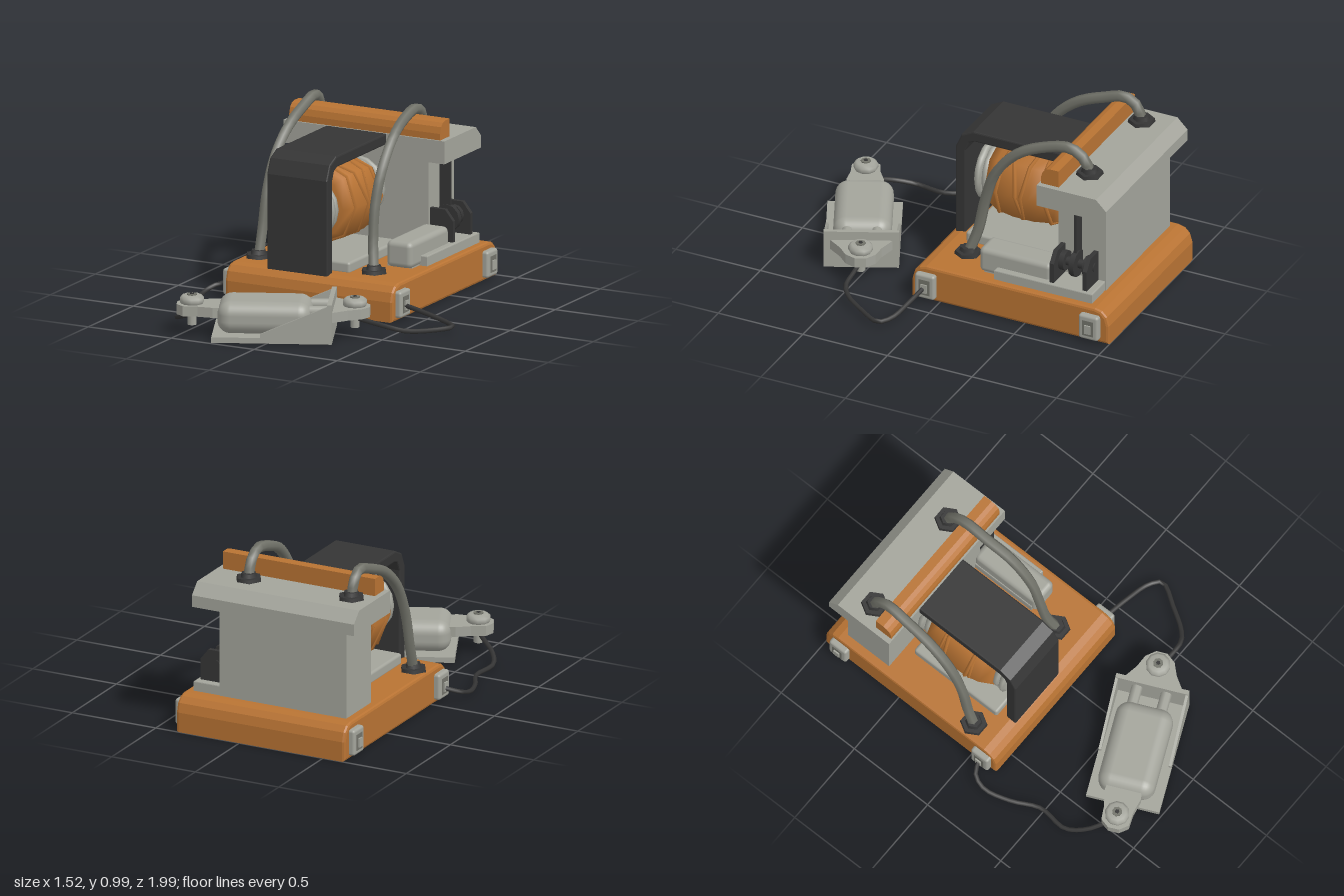
import * as THREE from 'three';
import { RoundedBoxGeometry } from 'three/addons/geometries/RoundedBoxGeometry.js';

const mat = (name, color) => Object.assign(new THREE.MeshStandardMaterial({ color }), { name });

export function createModel() {
  const copper = mat('copper orange', 0xb87333);
  const steel = mat('light grey', 0xa3a49b);
  const cableGrey = mat('cable grey', 0x72736a);
  const black = mat('charcoal', 0x353535);
  const root = new THREE.Group();
  root.name = 'electricBuzzer';

  const add = (name, geo, m, parent = root, x = 0, y = 0, z = 0) => {
    const mesh = new THREE.Mesh(geo, m);
    mesh.name = name;
    mesh.position.set(x, y, z);
    parent.add(mesh);
    return mesh;
  };
  const extrude = (pts, depth, b) => {
    const geo = new THREE.ExtrudeGeometry(new THREE.Shape(pts.map(p => new THREE.Vector2(...p))), {
      depth: depth - 2 * b, bevelEnabled: b > 0, bevelThickness: b, bevelSize: b, bevelOffset: -b, bevelSegments: 2,
    });
    return geo.translate(0, 0, b);
  };
  // Side profile given as [z, y], swept from x0 to x1
  const side = (pts, x0, x1, b = 0) =>
    extrude(pts.map(([z, y]) => [-z, y]), x1 - x0, b).rotateY(Math.PI / 2).translate(x0, 0, 0);
  // Plan outline given as [x, z], raised from y0 to y1
  const plan = (pts, y0, y1, b = 0) =>
    extrude(pts.map(([x, z]) => [x, -z]), y1 - y0, b).rotateX(-Math.PI / 2).translate(0, y0, 0);
  // Box from its limits, optionally rounded
  const box = (x0, x1, y0, y1, z0, z1, r = 0) => {
    const s = [x1 - x0, y1 - y0, z1 - z0];
    const g = r ? new RoundedBoxGeometry(...s, 2, r) : new THREE.BoxGeometry(...s);
    return g.translate((x0 + x1) / 2, (y0 + y1) / 2, (z0 + z1) / 2);
  };
  const lathe = (pts, n) => new THREE.LatheGeometry(pts.map(p => new THREE.Vector2(...p)), n);
  const tube = (pts, r, n = 24) => new THREE.TubeGeometry(
    new THREE.CatmullRomCurve3(pts.map(p => new THREE.Vector3(...p))), n, r, 6);

  // Base with rounded front and back edges
  add('base', side([[0.165, 0], [0.165, 0.11], [0.15, 0.16], [0.12, 0.19], [0.08, 0.2],
    [-0.915, 0.2], [-0.955, 0.19], [-0.985, 0.16], [-1, 0.11], [-1, 0]], -0.63, 0.38, 0.015), copper);

  // Rear block, its cap and the rail on top
  add('rearBlock', box(-0.58, 0.18, 0.2, 0.71, -0.885, -0.605), steel);
  add('capPlate', side([[-0.54, 0.7], [-0.54, 0.825], [-0.89, 0.825], [-0.95, 0.765], [-0.95, 0.7]], -0.66, 0.31), steel);
  add('topRail', side([[-0.55, 0.82], [-0.55, 0.86], [-0.56, 0.895], [-0.58, 0.915], [-0.605, 0.922],
    [-0.655, 0.922], [-0.655, 0.82]], -0.63, 0.28), copper);

  // Bent strap over the coil
  add('strap', side([[0.115, 0.18], [0.115, 0.71], [0.08, 0.79], [0.01, 0.825], [-0.55, 0.825], [-0.55, 0.765],
    [-0.0, 0.765], [0.035, 0.75], [0.055, 0.7], [0.055, 0.18]], -0.405, -0.04, 0.008), black);

  // Coil: barrel, windings, flanges and axle, lying along z
  const coil = new THREE.Group();
  coil.name = 'coil';
  coil.position.set(-0.225, 0.515, -0.275);
  root.add(coil);
  add('barrel', lathe([[0, -0.215], [0.185, -0.215], [0.215, -0.16], [0.23, -0.06], [0.23, 0.06],
    [0.215, 0.16], [0.185, 0.215], [0, 0.215]], 8).rotateX(Math.PI / 2), copper, coil);
  [[-0.13, 0.1, 0.218], [-0.04, -0.12, 0.228], [0.05, 0.14, 0.23], [0.12, -0.08, 0.22]].forEach(([z, tilt, r]) => {
    const w = add('winding', new THREE.TorusGeometry(r, 0.012, 5, 8), copper, coil, 0, 0, z);
    w.rotation.set(tilt, tilt, 0);
  });
  for (const s of [-1, 1]) {
    [[0.235, 0.165], [0.275, 0.17]].forEach(([z, r]) => add('flange',
      lathe([[0, -0.022], [r - 0.02, -0.022], [r, -0.01], [r, 0.01], [r - 0.02, 0.022], [0, 0.022]], 16)
        .rotateX(Math.PI / 2), steel, coil, 0, 0, s * z));
  }
  add('axle', new THREE.CylinderGeometry(0.065, 0.065, 0.67, 10).rotateX(Math.PI / 2), black, coil);

  // Plates standing on the base
  add('coilPlate', box(-0.44, 0.04, 0.19, 0.255, -0.55, 0.015, 0.015), steel);
  add('sidePlate', plan([[0.14, -0.22], [0.29, -0.22], [0.29, -0.3], [0.337, -0.3], [0.337, -0.88], [0.14, -0.88]],
    0.19, 0.255, 0.006), steel);
  add('sideBar', box(0.145, 0.3, 0.2, 0.345, -0.62, -0.19, 0.03), steel);

  // Contact wheel beside the block
  const bracket = [[0.13, 0.25], [0.13, 0.37], [0.175, 0.43], [0.27, 0.43], [0.318, 0.37], [0.318, 0.25]];
  for (const z of [-0.645, -0.84]) {
    add('contactBracket', extrude(bracket, 0.025, 0), black, root, 0, 0, z);
  }
  const rod = (r, d, z) => add('contactDisc', new THREE.CylinderGeometry(r, r, d, 12).rotateX(Math.PI / 2),
    black, root, 0.225, 0.355, z);
  rod(0.075, 0.03, -0.735);
  rod(0.025, 0.22, -0.735);
  rod(0.055, 0.03, -0.665);
  rod(0.055, 0.03, -0.805);
  add('contactArm', box(0.18, 0.245, 0.36, 0.71, -0.742, -0.727), black);

  // Thick cables with hexagonal nuts
  const nut = (x, y, z) => {
    add('hexNut', new THREE.CylinderGeometry(0.07, 0.075, 0.022, 6).rotateY(Math.PI / 6).toNonIndexed(),
      black, root, x, y + 0.008, z);
    add('nutCollar', new THREE.CylinderGeometry(0.04, 0.05, 0.03, 6).rotateY(Math.PI / 6), black, root, x, y + 0.025, z);
  };
  const cables = [
    [[-0.545, 0.2, -0.055], [-0.545, 0.34, -0.095], [-0.54, 0.55, -0.14], [-0.535, 0.72, -0.22], [-0.53, 0.85, -0.36],
      [-0.53, 0.92, -0.52], [-0.53, 0.955, -0.65], [-0.535, 0.91, -0.715], [-0.535, 0.83, -0.74]],
    [[0.15, 0.2, -0.055], [0.12, 0.34, -0.1], [0.11, 0.54, -0.14], [0.115, 0.71, -0.2], [0.11, 0.86, -0.33],
      [0.095, 0.93, -0.48], [0.09, 0.96, -0.63], [0.085, 0.91, -0.71], [0.08, 0.83, -0.74]],
  ];
  cables.forEach(c => {
    add('cable', tube(c, 0.03), cableGrey);
    const a = c[0], b = c[c.length - 1];
    nut(...a);
    nut(b[0], 0.825, b[2]);
  });

  // Sockets on both flanks of the base
  for (const s of [-1, 1]) for (const z of [0.075, -0.893]) {
    const x = s > 0 ? 0.385 : -0.635;
    add('socket', box(-0.028, 0.028, 0.02, 0.165, -0.058, 0.058, 0.015), steel, root, x, 0, z);
    add('socketInset', box(-0.004, 0.004, 0.045, 0.135, -0.032, 0.032), cableGrey, root, x + s * 0.026, 0, z);
    add('socketPlug', box(-0.008, 0.008, 0.06, 0.11, -0.018, 0.018), steel, root, x + s * 0.03, 0, z);
  }

  // Thin wires running to the cell holder
  add('leftWire', tube([[0.4, 0.085, 0.08], [0.55, 0.06, 0.1], [0.69, 0.035, 0.13], [0.75, 0.03, 0.18],
    [0.68, 0.03, 0.31], [0.6, 0.045, 0.43], [0.54, 0.065, 0.475], [0.42, 0.085, 0.485], [0.33, 0.1, 0.49]], 0.013), black);
  add('rightWire', tube([[-0.65, 0.08, 0.07], [-0.72, 0.06, 0.1], [-0.75, 0.035, 0.18], [-0.71, 0.018, 0.33],
    [-0.64, 0.015, 0.48], [-0.65, 0.02, 0.65], [-0.59, 0.05, 0.75], [-0.5, 0.085, 0.82], [-0.45, 0.1, 0.865]], 0.013), black);

  // Cell holder, turned on the floor
  const holder = new THREE.Group();
  holder.name = 'cellHolder';
  holder.position.set(-0.06, 0, 0.67);
  holder.rotation.y = 0.43;
  root.add(holder);
  add('tray', box(-0.32, 0.32, 0, 0.03, -0.2, 0.2), steel, holder);
  add('endWall', box(0.295, 0.32, 0, 0.215, -0.2, 0.2), steel, holder);
  for (const z of [-0.2, 0.185]) {
    add('sideWall', extrude([[-0.06, 0.02], [-0.06, 0.05], [0.32, 0.215], [0.32, 0.02]], 0.015, 0), steel, holder, 0, 0, z);
  }
  add('cell', new RoundedBoxGeometry(0.5, 0.175, 0.31, 4, 0.07), steel, holder, -0.045, 0.115, 0);
  for (const z of [-0.08, 0.08]) {
    add('contactStud', new THREE.CylinderGeometry(0.03, 0.03, 0.1, 8).rotateZ(Math.PI / 2), steel, holder, 0.245, 0.15, z);
  }

  // Terminal lugs with screws at both ends
  add('wideLug', plan([[0.3, -0.18], [0.4, -0.11], [0.47, -0.08], [0.51, -0.03], [0.51, 0.03], [0.47, 0.08],
    [0.4, 0.11], [0.3, 0.18]], 0.11, 0.165), steel, holder);
  add('narrowLug', plan([[-0.23, -0.09], [-0.23, 0.09], [-0.32, 0.1], [-0.4, 0.08], [-0.48, 0.075], [-0.515, 0.03],
    [-0.515, -0.03], [-0.48, -0.075], [-0.4, -0.08], [-0.32, -0.1]], 0.11, 0.165), steel, holder);
  for (const x of [-0.435, 0.43]) {
    add('terminalCap', lathe([[0.06, 0.165], [0.066, 0.175], [0.066, 0.195], [0.05, 0.21], [0, 0.21]], 10), steel, holder, x);
    add('screwHead', new THREE.CylinderGeometry(0.027, 0.027, 0.008, 8), cableGrey, holder, x, 0.212, 0);
    add('screwSlot', new THREE.CylinderGeometry(0.012, 0.012, 0.006, 6), black, holder, x, 0.216, 0);
    add('screwShank', new THREE.CylinderGeometry(0.025, 0.025, 0.07, 8), steel, holder, x, 0.083, 0);
  }
  return root;
}
